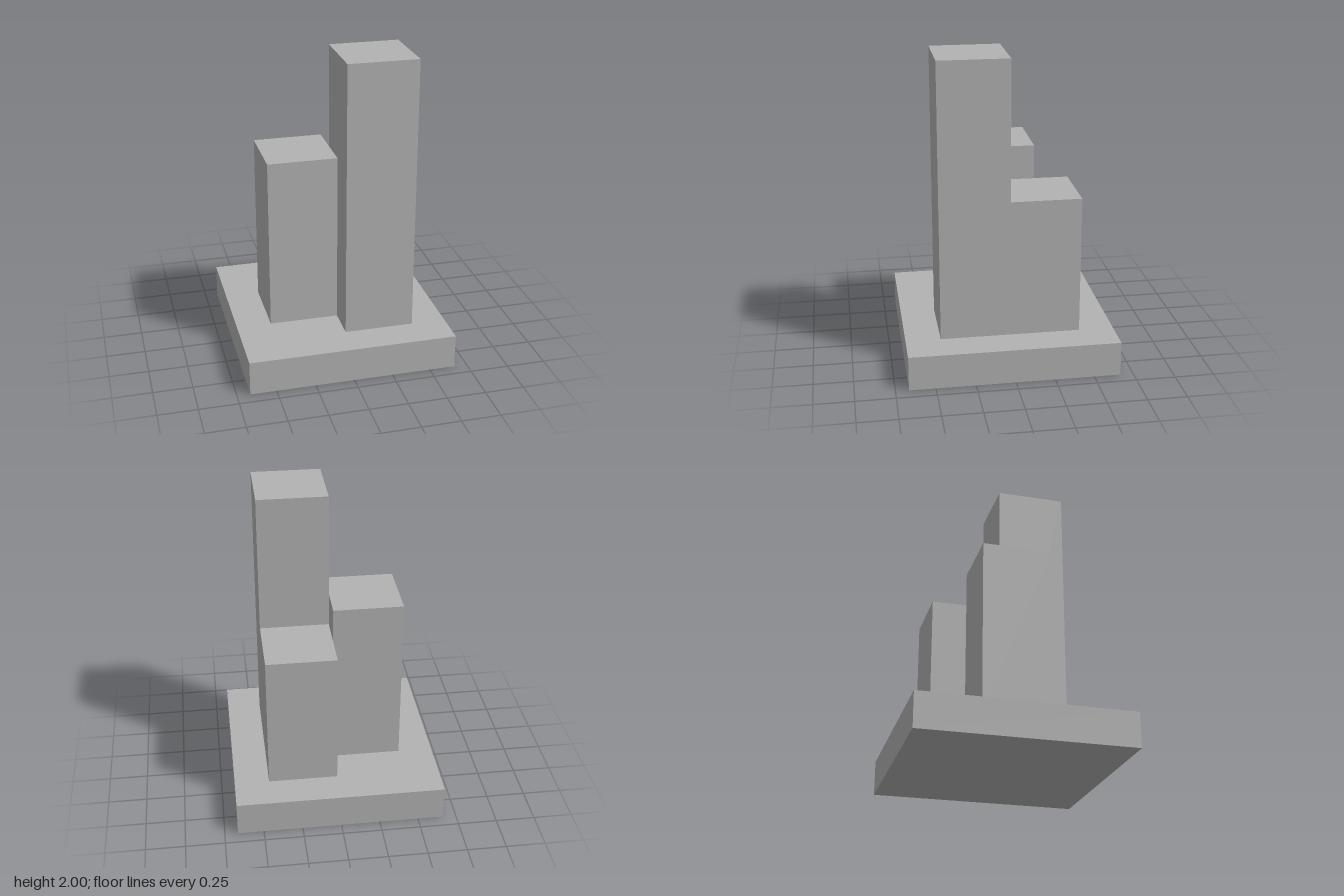
import * as THREE from 'three';

const U = 2 / 9; // building module

export function createModel() {
  const group = new THREE.Group();
  group.name = 'towerBlock';
  const grey = new THREE.MeshStandardMaterial({ color: 0xb2b2b2 });
  grey.name = 'concreteGrey';

  // Box standing on height y, all measures in modules
  const block = (name, w, h, d, x, y, z) => {
    const mesh = new THREE.Mesh(new THREE.BoxGeometry(w * U, h * U, d * U), grey);
    mesh.name = name;
    mesh.position.set(x * U, (y + h / 2) * U, z * U);
    group.add(mesh);
  };

  // Square plinth
  block('plinth', 6, 1, 6, 0, 0, 0);
  // Three towers of different heights, touching each other
  block('tallTower', 2, 8, 2, 1, 1, 1);
  block('middleTower', 2, 5, 2, -1, 1, 0);
  block('shortTower', 2, 4, 2, 1, 1, -1);

  return group;
}
